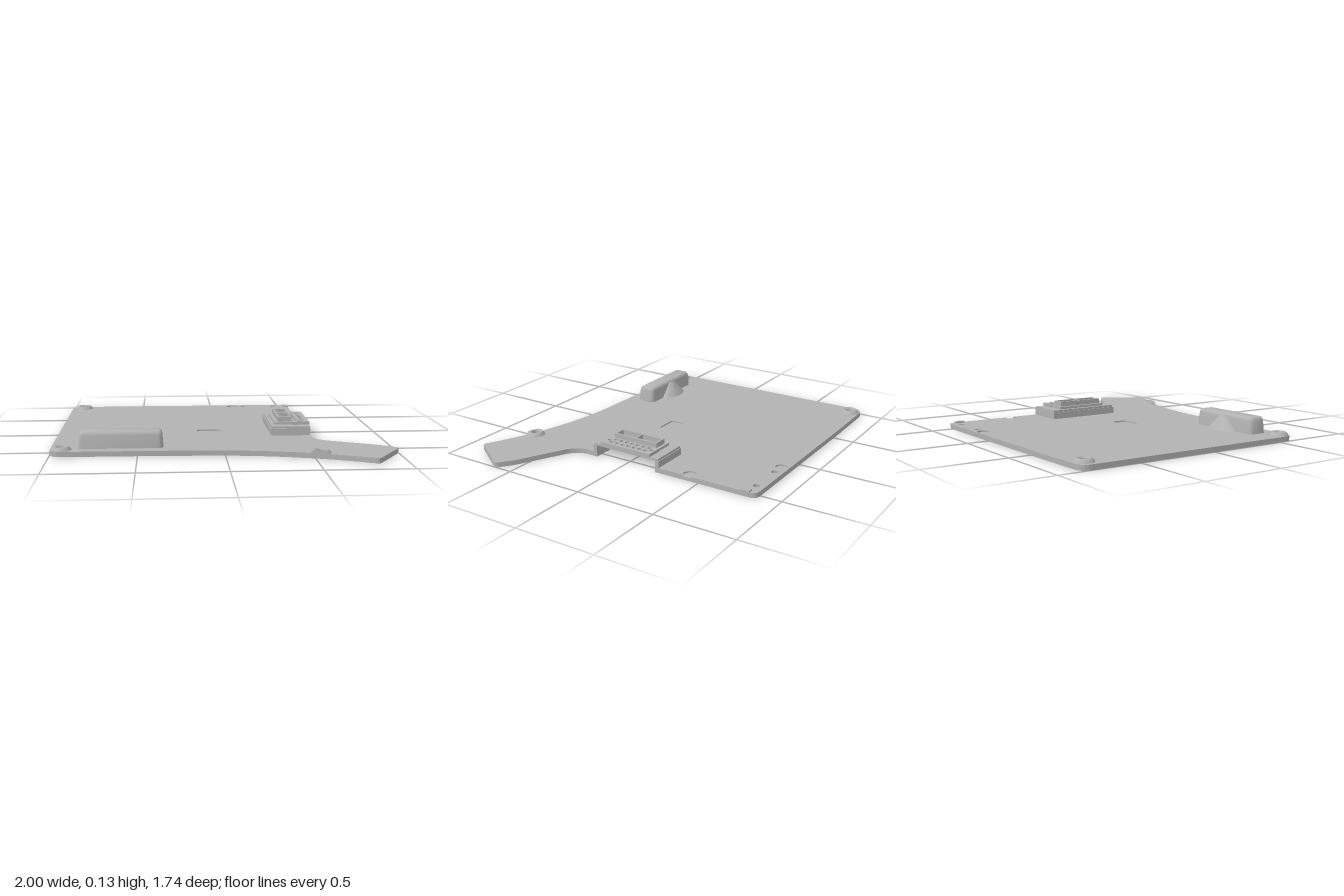
import * as THREE from 'three';
import { toCreasedNormals } from 'three/addons/utils/BufferGeometryUtils.js';

const grey = new THREE.MeshStandardMaterial({ color: 0xb2b2b2, side: THREE.DoubleSide });
grey.name = 'plain grey';

function add(parent, name, geometry) {
  const mesh = new THREE.Mesh(toCreasedNormals(geometry, 0.6), grey);
  mesh.name = name;
  parent.add(mesh);
  return mesh;
}

// Shapes are drawn in (x, z) and given a height from y0 to y1
function slab(shape, y0, y1) {
  return new THREE.ExtrudeGeometry(shape, { depth: y1 - y0, bevelEnabled: false, curveSegments: 20 })
    .rotateX(Math.PI / 2).translate(0, y1, 0);
}

const circle = (x, z, r) => new THREE.Path().absarc(x, z, r, 0, Math.PI * 2, false);

// Corner-rounded rectangle as a list of points
function roundRect(x0, z0, x1, z1, r) {
  const pts = [];
  const corners = [[x1 - r, z1 - r], [x0 + r, z1 - r], [x0 + r, z0 + r], [x1 - r, z0 + r]];
  corners.forEach(([cx, cz], k) => {
    for (let i = 0; i <= 6; i++) {
      const a = (k + i / 6) * Math.PI / 2;
      pts.push(new THREE.Vector2(cx + r * Math.cos(a), cz + r * Math.sin(a)));
    }
  });
  return pts;
}

function rect(x0, z0, x1, z1) {
  return new THREE.Shape([[x0, z0], [x1, z0], [x1, z1], [x0, z1]].map(p => new THREE.Vector2(...p)));
}

// Plate outline, with the connector bay and optionally the edge recess cut in
function plateOutline(edgeRecess) {
  const s = new THREE.Shape();
  s.moveTo(-0.93, -0.865);
  s.lineTo(-0.58, -0.87);
  s.lineTo(0.5, -0.87);
  s.quadraticCurveTo(0.55, -0.87, 0.55, -0.82);
  if (edgeRecess) {
    s.lineTo(0.55, -0.4565);
    s.absarc(0.52, -0.43, 0.04, -0.723, 0.723, true);
  }
  s.lineTo(0.55, -0.21);
  s.lineTo(0.325, -0.21);
  s.lineTo(0.325, 0.21);
  s.lineTo(0.55, 0.21);
  s.lineTo(0.55, 0.27);
  s.bezierCurveTo(0.55, 0.33, 0.58, 0.375, 0.635, 0.4);
  s.lineTo(0.91, 0.54);
  s.lineTo(0.985, 0.595);
  s.quadraticCurveTo(1.005, 0.61, 0.995, 0.63);
  s.lineTo(0.845, 0.855);
  s.quadraticCurveTo(0.832, 0.877, 0.81, 0.865);
  s.quadraticCurveTo(0.35, 0.62, -0.2, 0.62);
  s.lineTo(-0.4, 0.613);
  s.lineTo(-0.93, 0.61);
  s.quadraticCurveTo(-1, 0.61, -1, 0.54);
  s.lineTo(-1, -0.8);
  s.quadraticCurveTo(-1, -0.865, -0.93, -0.865);
  return s;
}

// Front edge curve of the plate: z for a given x
function frontEdge(x) {
  const t = (1.1 - Math.sqrt(1.21 - 0.36 * (x + 0.2))) / 0.18;
  return 0.62 + 0.245 * t * t;
}

// x, z, radius of the hole through the plate
const mounts = [[-0.92, -0.8, 0.042], [-0.935, 0.55, 0.042], [0.53, 0.715, 0.022]];

function addPlate(group) {
  const layers = [
    { y0: 0, y1: 0.006, extra: [circle(0.15, -0.825, 0.038), circle(0.87, 0.73, 0.04)] },
    { y0: 0.006, y1: 0.021, extra: [] },
    { y0: 0.021, y1: 0.03, edge: true,
      extra: [circle(0.15, -0.825, 0.038), new THREE.Path(roundRect(-0.14, 0.02, 0.01, 0.12, 0.02))] },
  ];
  layers.forEach(({ y0, y1, extra, edge }, i) => {
    const s = plateOutline(edge);
    mounts.forEach(m => s.holes.push(circle(...m)));
    s.holes.push(circle(0.23, -0.82, 0.02), circle(0.45, -0.82, 0.02), ...extra);
    // hollow under the raised bar and its lobe
    s.holes.push(new THREE.Path(roundRect(-0.835, 0.425, -0.355, 0.535, 0.025)));
    s.holes.push(new THREE.Path().absellipse(-0.6, 0.42, 0.115, 0.065, Math.PI, Math.PI * 2, false).closePath());
    add(group, ['plateBottom', 'plateCore', 'plateTop'][i], slab(s, y0, y1));
  });
}

function addMounts(group) {
  for (const [x, z, r] of mounts) {
    const profile = [[r, 0.028], [0.06, 0.028], [0.058, 0.034], [0.044, 0.05], [0.034, 0.05],
      [0.03, 0.045], [0.024, 0.045], [0.022, 0.028], [r, 0.028]];
    const g = new THREE.LatheGeometry(profile.map(p => new THREE.Vector2(...p)), 32).translate(x, 0, z);
    // trim the boss where it reaches the plate's front edge
    if (x > 0) {
      const p = g.attributes.position;
      for (let i = 0; i < p.count; i++) p.setZ(i, Math.min(p.getZ(i), frontEdge(p.getX(i))));
    }
    add(group, 'mountingBoss', g);
  }
}

// Hollow bar lofted from inset rounded rectangles
function addBar(group) {
  const levels = [[0, 0.028], [0.006, 0.105], [0.009, 0.117], [0.016, 0.126], [0.026, 0.13]];
  const pos = [], idx = [];
  let n = 0;
  for (const [d, y] of levels) {
    const ring = roundRect(-0.842 + d, 0.418 + d, -0.352 - d, 0.542 - d, 0.03 - d * 0.7);
    n = ring.length;
    ring.forEach(p => pos.push(p.x, y, p.y));
  }
  for (let l = 0; l < levels.length - 1; l++) {
    for (let i = 0; i < n; i++) {
      const a = l * n + i, b = l * n + (i + 1) % n;
      idx.push(a, a + n, b, b, a + n, b + n);
    }
  }
  const last = (levels.length - 1) * n, centre = levels.length * n;
  pos.push(-0.597, 0.13, 0.48);
  for (let i = 0; i < n; i++) idx.push(last + i, centre, last + (i + 1) % n);
  const g = new THREE.BufferGeometry();
  g.setAttribute('position', new THREE.Float32BufferAttribute(pos, 3));
  g.setIndex(idx);
  g.computeVertexNormals();
  add(group, 'raisedBar', g);

  // half-cone lobe leaning on the back of the bar
  const lobe = new THREE.CylinderGeometry(0.02, 0.122, 0.092, 32, 1, true, Math.PI / 2, Math.PI)
    .scale(1, 1, 0.6).translate(-0.597, 0.074, 0.424);
  add(group, 'barLobe', lobe);
}

function addConnector(group) {
  const connector = new THREE.Group();
  connector.name = 'connector';
  group.add(connector);
  const pinHoles = () => {
    const holes = [circle(0.495, -0.152, 0.013), circle(0.495, 0.152, 0.013)];
    for (let i = -3; i <= 3; i++) for (const x of [0.475, 0.517]) holes.push(circle(x, i * 0.04, 0.014));
    return holes;
  };

  // housing: three walls and a roof, open on the plate edge
  const walls = new THREE.Shape([[0.308, -0.235], [0.55, -0.235], [0.55, -0.21], [0.325, -0.21],
    [0.325, 0.21], [0.55, 0.21], [0.55, 0.235], [0.308, 0.235]].map(p => new THREE.Vector2(...p)));
  add(connector, 'housingWalls', slab(walls, 0.028, 0.072));
  const roof = rect(0.314, -0.23, 0.55, 0.23);
  roof.holes = pinHoles();
  add(connector, 'housingRoof', slab(roof, 0.072, 0.085));

  const block = rect(0.452, -0.173, 0.553, 0.178);
  block.holes = pinHoles();
  add(connector, 'pinBlock', slab(block, 0.085, 0.104));

  // twin socket with a stepped frame
  const base = rect(0.338, -0.168, 0.452, 0.168);
  base.holes.push(rect(0.37, -0.14, 0.438, 0.142));
  add(connector, 'socketBase', slab(base, 0.085, 0.1));
  const frame = rect(0.36, -0.15, 0.446, 0.152);
  frame.holes.push(rect(0.372, -0.138, 0.436, -0.004), rect(0.372, 0.006, 0.436, 0.14));
  add(connector, 'socketFrame', slab(frame, 0.085, 0.13));
}

export function createModel() {
  const group = new THREE.Group();
  group.name = 'coverPlate';
  addPlate(group);
  addMounts(group);
  addBar(group);
  addConnector(group);
  // small clip on the back corner
  add(group, 'edgeClip', new THREE.BoxGeometry(0.036, 0.026, 0.054).translate(0.537, 0.026, -0.8));
  return group;
}
